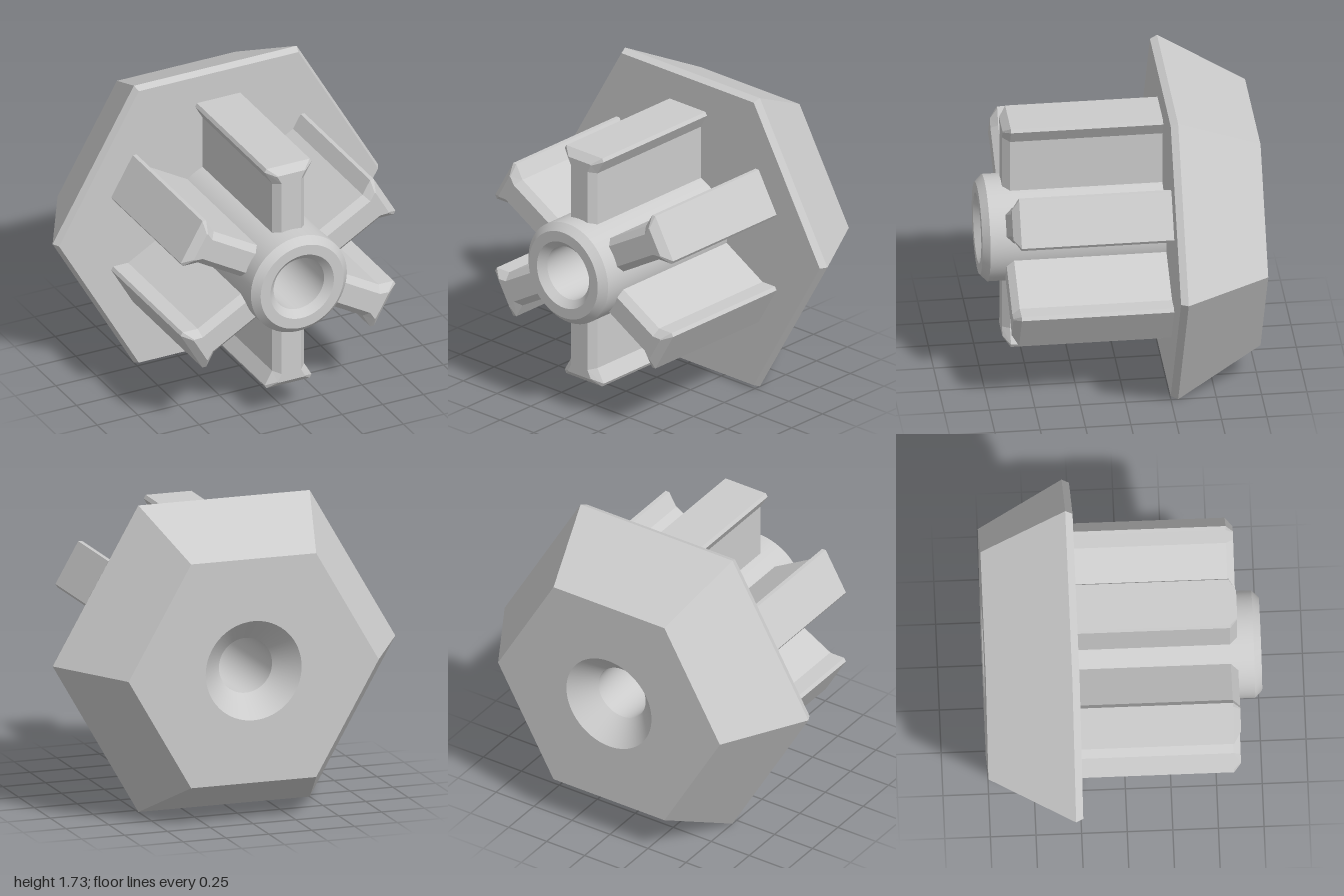
import * as THREE from 'three';
import { toCreasedNormals } from 'three/addons/utils/BufferGeometryUtils.js';

const HEX_FRONT = 0.98, HEX_BACK = 0.73;
const BACK = -0.76, HEAD_FRONT = -0.25, FRONT = 0.76;

const vec = (list) => list.map(([a, b]) => new THREE.Vector2(a, b));

// Revolve an [radius, z] profile round the z axis
function revolve(profile, sides, crease) {
  const lathe = new THREE.LatheGeometry(vec(profile), sides, Math.PI / 2);
  return toCreasedNormals(lathe.rotateX(Math.PI / 2), crease);
}

// Flat hexagon with a round hole, facing +z
function hexFace(radius, hole) {
  const corners = [];
  for (let i = 0; i < 6; i++) {
    const a = (i * Math.PI) / 3;
    corners.push([radius * Math.cos(a), radius * Math.sin(a)]);
  }
  const shape = new THREE.Shape(vec(corners));
  shape.holes.push(new THREE.Path().absarc(0, 0, hole, 0, Math.PI * 2, true));
  return new THREE.ShapeGeometry(shape, 32);
}

// Straight T-shaped fin pointing along +y, with a chamfered front end
function finGeometry() {
  const mirrored = (half) => vec([...half, ...half.map(([x, y]) => [-x, y]).reverse()]);
  const outer = mirrored([[0.098, 0.25], [0.098, 0.585], [0.144, 0.665], [0.133, 0.685]]);
  const inner = mirrored([[0.06, 0.25], [0.06, 0.595], [0.084, 0.64], [0.08, 0.645]]);
  const rings = [[outer, HEAD_FRONT - 0.02], [outer, 0.59], [inner, 0.63]];
  const n = outer.length;
  const positions = [];
  const index = [];
  for (const [ring, z] of rings) for (const p of ring) positions.push(p.x, p.y, z);
  for (let r = 0; r < rings.length - 1; r++) {
    for (let i = 0; i < n; i++) {
      const a = r * n + i, b = r * n + ((i + 1) % n);
      index.push(a, b, b + n, a, b + n, a + n);
    }
  }
  const start = (rings.length - 1) * n;
  for (const t of THREE.ShapeUtils.triangulateShape(inner, [])) {
    index.push(...t.map((i) => i + start));
  }
  const geo = new THREE.BufferGeometry();
  geo.setAttribute('position', new THREE.Float32BufferAttribute(positions, 3));
  geo.setIndex(index);
  const flat = geo.toNonIndexed();
  flat.computeVertexNormals();
  return flat;
}

export function createModel() {
  const model = new THREE.Group();
  model.name = 'hexKnob';
  const material = new THREE.MeshStandardMaterial({ color: 0xcccccc });
  const add = (name, geometry, parent = model) => {
    const mesh = new THREE.Mesh(geometry, material);
    mesh.name = name;
    parent.add(mesh);
    return mesh;
  };

  // Tapered hexagonal head
  const head = new THREE.Group();
  head.name = 'head';
  model.add(head);
  add('headSides', revolve([[HEX_BACK, BACK], [1, -0.29], [HEX_FRONT, HEAD_FRONT]], 6, 0.1), head);
  add('headFront', hexFace(HEX_FRONT, 0.29).translate(0, 0, HEAD_FRONT), head);
  add('headBack', hexFace(HEX_BACK, 0.28).rotateY(Math.PI).translate(0, 0, BACK), head);

  // Hollow shaft: outer wall, chamfered rim, bore and countersink
  add('shaft', revolve([
    [0.295, HEAD_FRONT - 0.02], [0.295, 0.72], [0.255, FRONT], [0.195, FRONT],
    [0.155, 0.72], [0.155, -0.63], [0.28, BACK],
  ], 64, 0.5));

  // Six T-shaped fins round the shaft
  const fin = finGeometry();
  for (let i = 0; i < 6; i++) {
    add(`fin${i + 1}`, fin).rotation.z = (i * Math.PI) / 3;
  }

  model.position.y = Math.sqrt(3) / 2;
  return model;
}
